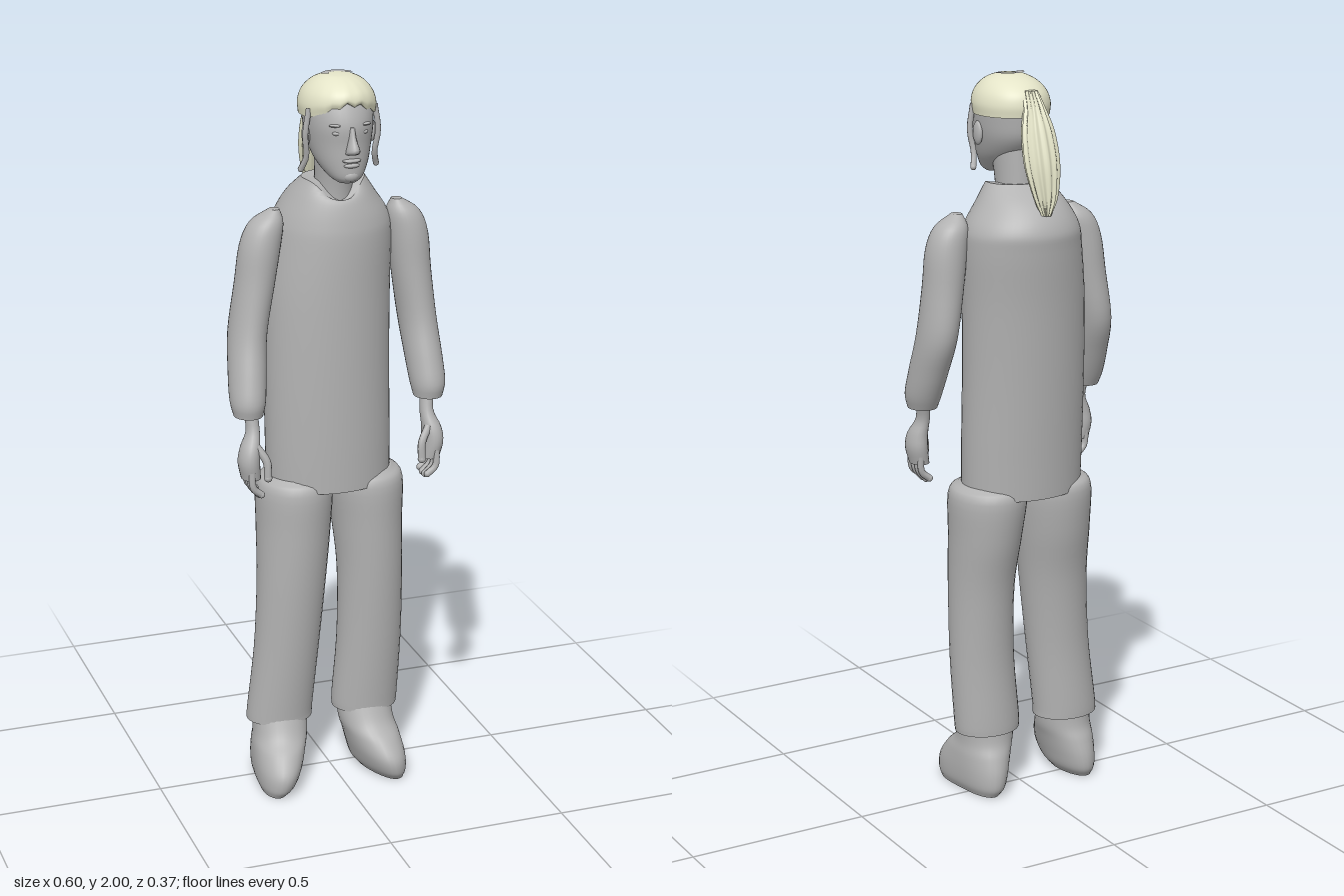
import * as THREE from 'three';

const grey = new THREE.MeshStandardMaterial({ color: 0xb2b2b2 });
grey.name = 'grey body';
const blonde = new THREE.MeshStandardMaterial({ color: 0xe4e4c8 });
blonde.name = 'pale blonde hair';

// Smooth closed loft through oval sections [y, xMin, xMax, zMin, zMax], bottom to top.
// warp(point, angle, t) may bend the surface.
function loft(name, sections, material = grey, { segs = 32, rows = 28, warp } = {}) {
  const n = sections.length;
  const curve = new THREE.CubicInterpolant(
    sections.map((_, i) => i / (n - 1)), sections.flat(), 5, new Float32Array(5));
  const pos = [], index = [], p = new THREE.Vector3();
  for (let i = 0; i <= rows; i++) {
    const [y, x0, x1, z0, z1] = curve.evaluate(i / rows);
    for (let j = 0; j < segs; j++) {
      const a = (j / segs) * Math.PI * 2;
      p.set((x0 + x1) / 2 + Math.cos(a) * (x1 - x0) / 2, y, (z0 + z1) / 2 + Math.sin(a) * (z1 - z0) / 2);
      if (warp) warp(p, a, i / rows);
      pos.push(p.x, p.y, p.z);
      if (i === rows) continue;
      const k = (j + 1) % segs, q = i * segs, r = q + segs;
      index.push(q + j, r + j, q + k, q + k, r + j, r + k);
    }
  }
  // end caps have their own vertices so that the rims stay crisp
  for (const row of [0, rows]) {
    const base = pos.length / 3, c = [0, 0, 0];
    for (let j = 0; j < segs; j++) {
      for (let d = 0; d < 3; d++) {
        const v = pos[(row * segs + j) * 3 + d];
        pos.push(v);
        c[d] += v / segs;
      }
    }
    pos.push(...c);
    for (let j = 0; j < segs; j++) {
      const a = base + j, b = base + (j + 1) % segs;
      index.push(base + segs, row ? b : a, row ? a : b);
    }
  }
  const geo = new THREE.BufferGeometry();
  geo.setAttribute('position', new THREE.Float32BufferAttribute(pos, 3));
  geo.setIndex(index);
  geo.computeVertexNormals();
  const mesh = new THREE.Mesh(geo, material);
  mesh.name = name;
  return mesh;
}

function ellipsoid(name, x, y, z, rx, ry, rz) {
  const mesh = new THREE.Mesh(new THREE.SphereGeometry(1, 16, 12), grey);
  mesh.name = name;
  mesh.position.set(x, y, z);
  mesh.scale.set(rx, ry, rz);
  return mesh;
}

function tube(name, points, radius) {
  const path = new THREE.CatmullRomCurve3(points.map(p => new THREE.Vector3(...p)));
  const mesh = new THREE.Mesh(new THREE.TubeGeometry(path, 10, radius, 8), grey);
  mesh.name = name;
  mesh.add(ellipsoid(name + 'Tip', ...points[points.length - 1], radius, radius, radius));
  return mesh;
}

function makeHead() {
  const head = new THREE.Group();
  head.name = 'head';
  const cx = 0.01;
  head.add(loft('neck', [
    [1.6, -0.045, 0.065, -0.06, 0.06], [1.7, -0.04, 0.06, -0.055, 0.065],
    [1.82, -0.045, 0.065, -0.05, 0.09]]));
  head.add(loft('skull', [
    [1.73, -0.015, 0.035, 0.085, 0.135], [1.745, -0.035, 0.055, 0.045, 0.148],
    [1.78, -0.058, 0.078, -0.02, 0.15], [1.83, -0.073, 0.093, -0.068, 0.15],
    [1.88, -0.08, 0.1, -0.08, 0.152], [1.93, -0.08, 0.1, -0.08, 0.135],
    [1.965, -0.062, 0.082, -0.055, 0.11], [1.985, -0.02, 0.04, -0.005, 0.06]], grey, { segs: 40 }));
  // face
  head.add(loft('nose', [
    [1.81, cx - 0.018, cx + 0.018, 0.13, 0.165], [1.822, cx - 0.017, cx + 0.017, 0.13, 0.184],
    [1.85, cx - 0.01, cx + 0.01, 0.13, 0.167], [1.88, cx - 0.008, cx + 0.008, 0.13, 0.155]], grey, { segs: 14, rows: 10 }));
  head.add(ellipsoid('upperLip', cx, 1.792, 0.146, 0.026, 0.006, 0.012));
  head.add(ellipsoid('lowerLip', cx, 1.779, 0.144, 0.022, 0.007, 0.012));
  head.add(ellipsoid('chin', cx, 1.75, 0.137, 0.022, 0.016, 0.015));
  for (const s of [-1, 1]) {
    const x = cx + s * 0.035;
    head.add(ellipsoid('eye', x, 1.864, 0.133, 0.014, 0.007, 0.011));
    head.add(ellipsoid('eyebrow', x, 1.884, 0.133, 0.022, 0.005, 0.012));
    head.add(ellipsoid('ear', cx + s * 0.09, 1.845, 0.045, 0.01, 0.032, 0.02));
    head.add(tube('sideStrand', [
      [cx + s * 0.09, 1.92, 0.07], [cx + s * 0.1, 1.85, 0.07], [cx + s * 0.094, 1.79, 0.06],
      [cx + s * 0.104, 1.755, 0.045]], 0.008));
  }
  return head;
}

function makeHair() {
  const hair = new THREE.Group();
  hair.name = 'hair';
  // cap with a raised, slightly jagged hairline over the forehead
  hair.add(loft('hairCap', [
    [1.895, -0.088, 0.11, -0.088, 0.138], [1.925, -0.09, 0.112, -0.09, 0.142],
    [1.955, -0.08, 0.102, -0.08, 0.134], [1.98, -0.058, 0.08, -0.05, 0.11],
    [1.995, -0.03, 0.05, -0.01, 0.078], [1.999, -0.005, 0.025, 0.02, 0.05]], blonde, {
    segs: 64,
    warp: (p, a, t) => {
      const front = Math.max(0, Math.sin(a)) ** 3;
      p.y += (1 - t) ** 3 * front * (0.04 + 0.006 * Math.sin(a * 16));
    },
  }));
  // ponytail with strand ridges
  hair.add(loft('ponytail', [
    [1.65, 0.004, 0.024, -0.172, -0.15], [1.7, -0.022, 0.042, -0.175, -0.128],
    [1.78, -0.037, 0.057, -0.168, -0.1], [1.86, -0.034, 0.054, -0.145, -0.082],
    [1.92, -0.018, 0.038, -0.118, -0.07], [1.965, -0.008, 0.028, -0.09, -0.04]], blonde, {
    segs: 60,
    warp: (p, a) => {
      p.x += 0.0035 * Math.cos(12 * a) * Math.cos(a);
      p.z += 0.0035 * Math.cos(12 * a) * Math.sin(a);
    },
  }));
  // bare crescent on the crown
  const crescent = new THREE.Mesh(new THREE.RingGeometry(0.024, 0.043, 24, 1, 0.1, Math.PI - 0.2), grey);
  crescent.name = 'crownCrescent';
  crescent.rotation.x = -Math.PI / 2;
  crescent.position.set(0.008, 2.0, 0.045);
  hair.add(crescent);
  return hair;
}

// Arms are described for the right side (-x); the left mirrors them, shifted a little at the shoulder.
function makeArm(side) {
  const arm = new THREE.Group();
  arm.name = side < 0 ? 'rightArm' : 'leftArm';
  const shift = y => (side < 0 ? 0 : THREE.MathUtils.mapLinear(y, 1.1, 1.64, -0.005, 0.03));
  const mx = (x, y) => -side * x + shift(y);
  const place = s => s.map(([y, x0, x1, z0, z1]) => {
    const a = mx(x0, y), b = mx(x1, y);
    return [y, Math.min(a, b), Math.max(a, b), z0, z1];
  });
  arm.add(loft('sleeve', place([
    [1.11, -0.296, -0.218, 0.04, 0.13], [1.15, -0.303, -0.208, 0.018, 0.135],
    [1.22, -0.298, -0.198, -0.015, 0.115], [1.32, -0.286, -0.184, -0.055, 0.085],
    [1.45, -0.265, -0.158, -0.055, 0.07], [1.55, -0.25, -0.14, -0.052, 0.064],
    [1.61, -0.222, -0.132, -0.042, 0.052], [1.645, -0.17, -0.142, -0.01, 0.025]])));
  arm.add(loft('hand', place([
    [0.945, -0.288, -0.236, 0.085, 0.15], [0.99, -0.296, -0.238, 0.078, 0.156],
    [1.03, -0.288, -0.236, 0.08, 0.148], [1.075, -0.268, -0.232, 0.078, 0.122],
    [1.14, -0.275, -0.235, 0.06, 0.105]]), grey, { segs: 20, rows: 16 }));
  for (let i = 0; i < 4; i++) {
    const z = 0.09 + i * 0.019, end = 0.895 + 0.006 * Math.abs(i - 1.5);
    arm.add(tube('finger', [
      [mx(-0.268, 1), 0.97, z], [mx(-0.264, 1), 0.925, z + 0.002], [mx(-0.242, 1), end, z]], 0.0095));
  }
  arm.add(tube('thumb', [
    [mx(-0.25, 1), 1.035, 0.13], [mx(-0.226, 1), 0.995, 0.145], [mx(-0.224, 1), 0.95, 0.15]], 0.011));
  return arm;
}

function makeLegs() {
  const legs = new THREE.Group();
  legs.name = 'legs';
  // trousers
  legs.add(loft('rightTrouserLeg', [
    [0.18, -0.245, -0.058, -0.07, 0.083], [0.22, -0.242, -0.056, -0.07, 0.085],
    [0.4, -0.223, -0.04, -0.066, 0.098], [0.6, -0.212, -0.02, -0.08, 0.11],
    [0.75, -0.208, -0.004, -0.11, 0.115], [0.87, -0.205, 0.003, -0.122, 0.115],
    [0.9, -0.175, -0.025, -0.09, 0.085]]));
  legs.add(loft('leftTrouserLeg', [
    [0.18, 0.008, 0.194, -0.07, 0.083], [0.22, 0.008, 0.197, -0.07, 0.085],
    [0.4, 0.02, 0.203, -0.066, 0.098], [0.6, 0.022, 0.204, -0.08, 0.11],
    [0.75, 0.01, 0.205, -0.11, 0.115], [0.87, -0.002, 0.206, -0.122, 0.115],
    [0.9, 0.025, 0.175, -0.09, 0.085]]));
  // shoes: narrower and turned outwards at the toe
  for (const side of [-1, 1]) {
    const off = side < 0 ? -0.055 : 0;
    const shoe = [
      [0, 0.07, 0.178, -0.075, 0.165], [0.025, 0.05, 0.188, -0.09, 0.182],
      [0.065, 0.038, 0.19, -0.09, 0.182], [0.11, 0.028, 0.186, -0.078, 0.15],
      [0.15, 0.02, 0.178, -0.062, 0.108], [0.21, 0.02, 0.175, -0.055, 0.075]];
    legs.add(loft(side < 0 ? 'rightShoe' : 'leftShoe', shoe.map(([y, x0, x1, z0, z1]) =>
      (side < 0 ? [y, -x1 + off, -x0 + off, z0, z1] : [y, x0, x1, z0, z1])), grey, {
      warp: (p, a, t) => {
        const cx = side * 0.115 + off, toe = THREE.MathUtils.smoothstep(p.z, 0, 0.18) * (1 - t);
        p.x = cx + (p.x - cx) * (1 - 0.15 * (1 - t)) + side * 0.025 * toe;
      },
    }));
  }
  return legs;
}

export function createModel() {
  const model = new THREE.Group();
  model.name = 'standingWoman';
  // long tunic with a dipped neckline
  model.add(loft('tunic', [
    [0.868, -0.174, 0.172, -0.135, 0.12], [1.0, -0.176, 0.173, -0.142, 0.12],
    [1.2, -0.175, 0.172, -0.155, 0.118], [1.4, -0.168, 0.175, -0.17, 0.115],
    [1.55, -0.15, 0.18, -0.185, 0.112], [1.61, -0.138, 0.172, -0.185, 0.105],
    [1.67, -0.108, 0.132, -0.145, 0.09], [1.72, -0.075, 0.095, -0.075, 0.072]], grey, {
    segs: 48, rows: 40,
    warp: (p, a, t) => { p.y -= 0.06 * t ** 12 * Math.max(0, Math.sin(a)) ** 4; },
  }));
  model.add(makeHead(), makeHair(), makeArm(-1), makeArm(1), makeLegs());
  return model;
}
